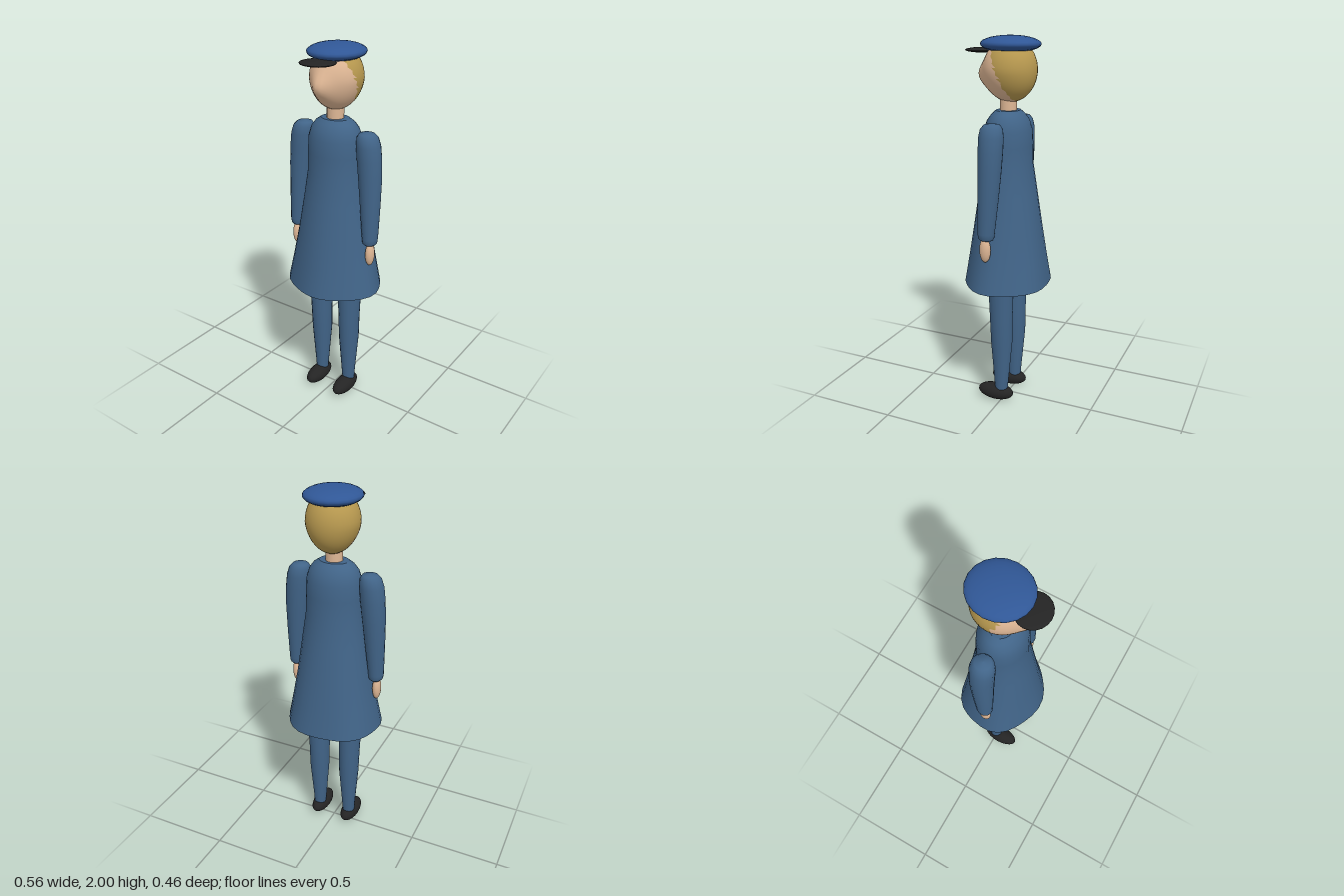
import * as THREE from 'three';
import { mergeVertices } from 'three/addons/utils/BufferGeometryUtils.js';

const material = (name, color) => Object.assign(new THREE.MeshStandardMaterial({ color }), { name });

// Surface through elliptical rings [y, centreX, centreZ, radiusX, radiusZ], listed bottom to top.
// A repeated ring leaves a sharp edge.
function loft(rings, sides, ripple = () => 0) {
  const positions = [], index = [];
  rings.forEach(([y, cx, cz, rx, rz], i) => {
    for (let j = 0; j < sides; j++) {
      const a = (j / sides) * Math.PI * 2;
      const k = 1 + ripple(a, y);
      positions.push(cx + Math.cos(a) * rx * k, y, cz + Math.sin(a) * rz * k);
      if (i === rings.length - 1) continue;
      const p = i * sides + j, q = i * sides + (j + 1) % sides;
      index.push(p, p + sides, q, q, p + sides, q + sides);
    }
  });
  const geometry = new THREE.BufferGeometry();
  geometry.setAttribute('position', new THREE.Float32BufferAttribute(positions, 3));
  geometry.setIndex(index);
  geometry.computeVertexNormals();
  return geometry;
}

// Head: an egg with a pointed nose; group 0 is skin, group 1 is hair
function headGeometry() {
  let geometry = new THREE.SphereGeometry(1, 36, 28);
  geometry.deleteAttribute('normal');
  geometry.deleteAttribute('uv');
  geometry = mergeVertices(geometry, 1e-4);
  const p = geometry.attributes.position;
  for (let i = 0; i < p.count; i++) {
    const x0 = p.getX(i), y0 = p.getY(i), z0 = p.getZ(i);
    const taper = 1 - 0.12 * Math.max(0, -y0);
    const x = x0 * 0.136 * taper, y = 1.83 + y0 * 0.16;
    let z = -0.012 + z0 * 0.138;
    if (z0 > 0) z += 0.042 * Math.exp(-(((y - 1.8) / 0.065) ** 2) - (x / 0.05) ** 2);
    p.setXYZ(i, x, y, z);
  }
  const skin = [], hair = [], index = geometry.index.array;
  for (let i = 0; i < index.length; i += 3) {
    const tri = [index[i], index[i + 1], index[i + 2]];
    const y = tri.reduce((s, v) => s + p.getY(v), 0) / 3;
    const z = tri.reduce((s, v) => s + p.getZ(v), 0) / 3;
    const hairline = 0.045 - (1.9 - y) * 0.42;
    (z < hairline ? hair : skin).push(...tri);
  }
  geometry.setIndex([...skin, ...hair]);
  geometry.addGroup(0, skin.length, 0);
  geometry.addGroup(skin.length, hair.length, 1);
  geometry.computeVertexNormals();
  return geometry;
}

export function createModel() {
  const model = new THREE.Group();
  model.name = 'figure';
  const coatBlue = material('coatBlue', 0x416488);
  coatBlue.side = THREE.DoubleSide;
  const capBlue = material('capBlue', 0x305796);
  const skin = material('skin', 0xdfb795);
  const hair = material('hair', 0xb99a50);
  const black = material('black', 0x242424);

  const add = (name, geometry, mat) => {
    const mesh = new THREE.Mesh(geometry, mat);
    mesh.name = name;
    model.add(mesh);
    return mesh;
  };
  const ellipsoid = (name, mat, centre, radii, w = 20, h = 14) => {
    const mesh = add(name, new THREE.SphereGeometry(1, w, h), mat);
    mesh.position.set(...centre);
    mesh.scale.set(...radii);
    return mesh;
  };

  // Flared coat, open below, with a faint ripple at the hem
  add('coat', loft([
    [0.70, 0, 0, 0.264, 0.230],
    [0.85, 0, 0, 0.233, 0.205],
    [1.00, 0, 0, 0.204, 0.182],
    [1.20, 0, 0, 0.172, 0.152],
    [1.35, 0, 0, 0.150, 0.129],
    [1.45, 0, 0, 0.149, 0.127],
    [1.53, 0, 0, 0.145, 0.122],
    [1.58, 0, 0, 0.130, 0.105],
    [1.61, 0, 0, 0.108, 0.083],
    [1.63, 0, 0, 0.078, 0.062],
    [1.63, 0, 0, 0.078, 0.062],
    [1.63, 0, 0, 0, 0],
  ], 28, (a, y) => 0.025 * Math.max(0, 1.2 - y) * 2 * Math.sin(5 * a + 0.6)), coatBlue);

  // Limbs, mirrored
  for (const [side, s] of [['left', 1], ['right', -1]]) {
    add(side + 'Sleeve', loft([
      [0.995, s * 0.233, 0.020, 0, 0],
      [0.995, s * 0.233, 0.020, 0.030, 0.034],
      [1.005, s * 0.233, 0.020, 0.038, 0.042],
      [1.03, s * 0.233, 0.020, 0.041, 0.045],
      [1.20, s * 0.225, 0.012, 0.052, 0.054],
      [1.35, s * 0.217, 0.006, 0.061, 0.060],
      [1.45, s * 0.209, 0.004, 0.064, 0.063],
      [1.52, s * 0.202, 0.004, 0.062, 0.064],
      [1.56, s * 0.196, 0.004, 0.055, 0.057],
      [1.58, s * 0.192, 0.004, 0.040, 0.040],
      [1.586, s * 0.190, 0.004, 0, 0],
    ], 18), coatBlue);
    ellipsoid(side + 'Hand', skin, [s * 0.238, 0.94, 0.025], [0.023, 0.066, 0.031], 14, 12);
    add(side + 'TrouserLeg', loft([
      [0.06, s * 0.094, 0, 0.033, 0.035],
      [0.12, s * 0.093, 0, 0.037, 0.040],
      [0.36, s * 0.093, -0.002, 0.055, 0.060],
      [0.50, s * 0.094, 0, 0.058, 0.063],
      [0.70, s * 0.096, 0, 0.065, 0.070],
      [0.95, s * 0.096, 0, 0.068, 0.072],
      [0.95, s * 0.096, 0, 0, 0],
    ], 18), coatBlue);
    ellipsoid(side + 'Shoe', black, [s * 0.094, 0.046, 0.035], [0.049, 0.046, 0.105]);
  }

  // Neck and head
  const neck = add('neck', new THREE.CylinderGeometry(0.044, 0.044, 0.14, 18), skin);
  neck.position.y = 1.66;
  add('head', headGeometry(), [skin, hair]);

  // Cap with visor
  ellipsoid('cap', capBlue, [0, 1.957, -0.012], [0.146, 0.043, 0.156], 20, 14);
  ellipsoid('visor', black, [0, 1.925, 0.145], [0.092, 0.013, 0.086], 20, 10);

  return model;
}
